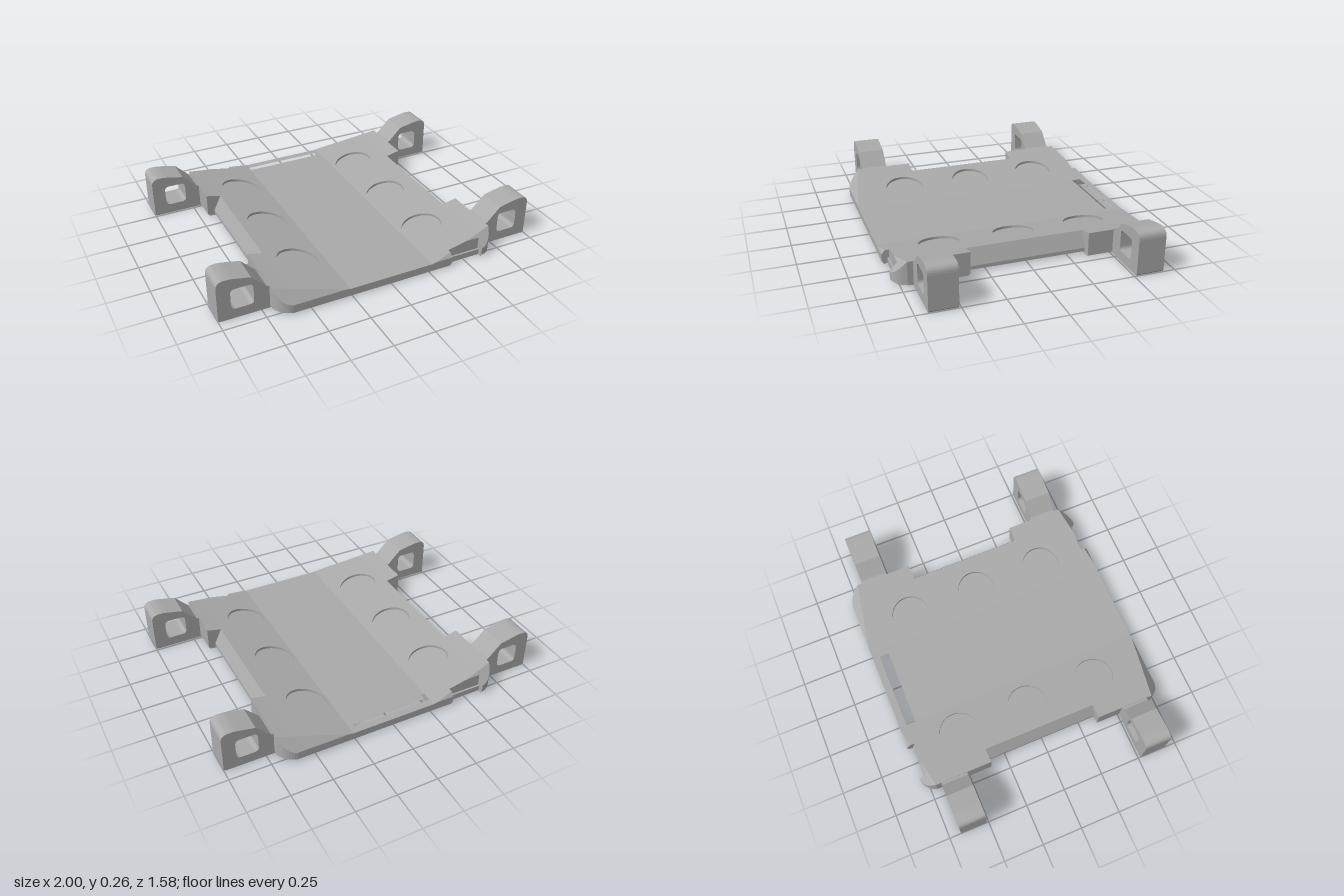
import * as THREE from 'three';

export function createModel() {
  const group = new THREE.Group();
  const grey = new THREE.MeshStandardMaterial({ color: 0xaaaaaa });
  grey.name = 'grey plastic';
  const BASE = 0.014; // underside of the body, above the thin bottom skin

  // Height of the dished top across x, and the z where the end bevel meets it
  const dish = (x) => {
    const a = Math.abs(x);
    if (a <= 0.265) return 0.055;
    if (a <= 0.61) return 0.055 + ((a - 0.265) / 0.345) * 0.075;
    return 0.13 + ((a - 0.61) / 0.09) * 0.02;
  };
  const bevel = (z) => 0.06 + (0.79 - Math.abs(z)) / 0.875;
  const creaseZ = (x) => 0.79 - (dish(x) - 0.06) * 0.875;
  const top = (x, z) => Math.min(dish(x), bevel(z));

  const rect = (x0, x1, z0, z1) => [[x0, z0], [x1, z0], [x1, z1], [x0, z1]];
  const circle = (cx, cz, r, n = 48) => Array.from({ length: n }, (_, i) => {
    const a = (i / n) * Math.PI * 2;
    return [cx + r * Math.cos(a), cz + r * Math.sin(a)];
  });
  const flip = (pts, sx, sz) => pts.map(([x, z]) => [x * sx, z * sz]);

  // Solid over a plan outline whose top follows height(x, z)
  function panel(name, pts, height, base = BASE, holes = []) {
    const v = (p) => p.map(([x, z]) => new THREE.Vector2(x, -z));
    const shape = new THREE.Shape(v(pts));
    holes.forEach((h) => shape.holes.push(new THREE.Path(v(h))));
    const geo = new THREE.ExtrudeGeometry(shape, { depth: 1, bevelEnabled: false });
    geo.rotateX(-Math.PI / 2);
    const p = geo.attributes.position;
    for (let i = 0; i < p.count; i++) {
      p.setY(i, p.getY(i) > 0.5 ? height(p.getX(i), p.getZ(i)) : base);
    }
    geo.computeVertexNormals();
    const mesh = new THREE.Mesh(geo, grey);
    mesh.name = name;
    group.add(mesh);
  }

  // Rounded outer corner in plan, from the end towards the side
  const corner = [];
  for (let i = 0; i <= 8; i++) {
    const a = THREE.MathUtils.lerp(1.47, 0.21, i / 8);
    corner.push([0.6 + 0.1 * Math.cos(a), 0.69 + 0.1 * Math.sin(a)]);
  }
  corner[0][0] = 0.61;
  corner[8] = [0.7, 0.711];

  // Centre of the tray with the strap slot
  const slot = rect(-0.265 + 0.002, 0.235, -0.745, -0.685);
  panel('centrePanel', rect(-0.265, 0.265, -0.79, 0.79), top, BASE, [slot]);

  for (const s of [1, -1]) {
    // Raised wing with three round recesses and one notched end
    const cx = s > 0 ? 0.397 : 0.433;
    const discs = [-0.46, -0.005, 0.45].map((z) => circle(cx, z * s, 0.12));
    const wing = [
      [0.265, 0.79], [0.288, 0.79], [0.4, creaseZ(0.4)], [0.4, 0.745], [0.5245, 0.745],
      [0.61, creaseZ(0.61)], [0.61, -creaseZ(0.61)], [0.288, -0.79], [0.265, -0.79],
    ];
    panel('wingPanel', flip(wing, s, s), top, BASE, discs.map((d) => flip(d, s, s)));
    discs.forEach((d) => panel('recessFloor', flip(d, s, s), (x) => dish(x) - 0.015));

    // End bevels: notched at one end, whole at the other
    panel('notchedBevel', flip([[0.288, 0.79], [0.4, 0.79], [0.4, creaseZ(0.4)]], s, s), (x, z) => bevel(z));
    panel('notchedBevel', flip([[0.5245, 0.745], [0.61, 0.745], [0.61, creaseZ(0.61)]], s, s), (x, z) => bevel(z));
    panel('endBevel', flip([[0.288, 0.79], [0.61, 0.79], [0.61, creaseZ(0.61)]], s, -s), (x, z) => bevel(z));
    panel('notchLedge', flip(rect(0.4, 0.61, 0.74, 0.757), s, s), () => 0.036, 0.002);

    // Sloping side wall between the shoulders
    panel('sideWall', flip(rect(0.61, 0.655, -0.356, 0.356), s, s),
      (x) => (Math.abs(x) < 0.63 ? 0.13 : 0.036));

    for (const e of [1, -1]) {
      // Shoulder and rounded corner
      panel('shoulder', flip([[0.61, 0.356], [0.7, 0.356], [0.7, 0.711], [0.61, creaseZ(0.61)]], s, e), dish);
      panel('cornerBevel', flip([...corner, [0.61, creaseZ(0.61)]], s, e), (x, z) => bevel(z));

      // Lug with a rounded square eye
      const lug = new THREE.Shape();
      lug.moveTo(0.68, 0.006);
      lug.lineTo(0.686, 0);
      lug.lineTo(0.992, 0);
      lug.lineTo(1, 0.01);
      lug.lineTo(1, 0.215);
      lug.quadraticCurveTo(1, 0.26, 0.955, 0.26);
      lug.quadraticCurveTo(0.93, 0.262, 0.9, 0.256);
      lug.lineTo(0.8, 0.235);
      lug.lineTo(0.715, 0.15);
      lug.lineTo(0.68, 0.14);
      const [l, r, b, t, k] = [0.79, 0.922, 0.06, 0.19, 0.028];
      const eye = new THREE.Path();
      eye.moveTo(l + k, b);
      eye.lineTo(r - k, b);
      eye.quadraticCurveTo(r, b, r, b + k);
      eye.lineTo(r, t - k);
      eye.quadraticCurveTo(r, t, r - k, t);
      eye.lineTo(l + k, t);
      eye.quadraticCurveTo(l, t, l, t - k);
      eye.lineTo(l, b + k);
      eye.quadraticCurveTo(l, b, l + k, b);
      lug.holes.push(eye);
      const geo = new THREE.ExtrudeGeometry(lug, { depth: 0.166, bevelEnabled: false, curveSegments: 6 });
      geo.translate(0, 0, -0.083);
      const mesh = new THREE.Mesh(geo, grey);
      mesh.name = 'cornerLug';
      mesh.position.z = e * 0.595;
      if (s < 0) mesh.rotation.y = Math.PI;
      group.add(mesh);
    }
  }

  // Bottom skin, inset under the body, with shallow pockets and the strap slot
  const quarter = [[0.605, 0.35], [0.69, 0.36], [0.69, 0.7], [0.66, 0.755], [0.61, 0.78]];
  const notch = [[0.61, 0.745], [0.4, 0.745], [0.4, 0.782]];
  const half = [...flip(quarter, 1, -1).reverse(), ...quarter, ...notch];
  const skin = [...half, ...flip(half, -1, -1)];
  const pockets = [slot];
  for (const s of [1, -1]) {
    pockets.push(flip(rect(0.36, 0.5, -0.46, -0.3), s, s));
    for (const e of [1, -1]) pockets.push(flip(rect(0.34, 0.52, 0.59, 0.635), s, e));
  }
  panel('bottomSkin', skin, () => BASE, 0, pockets);

  return group;
}
